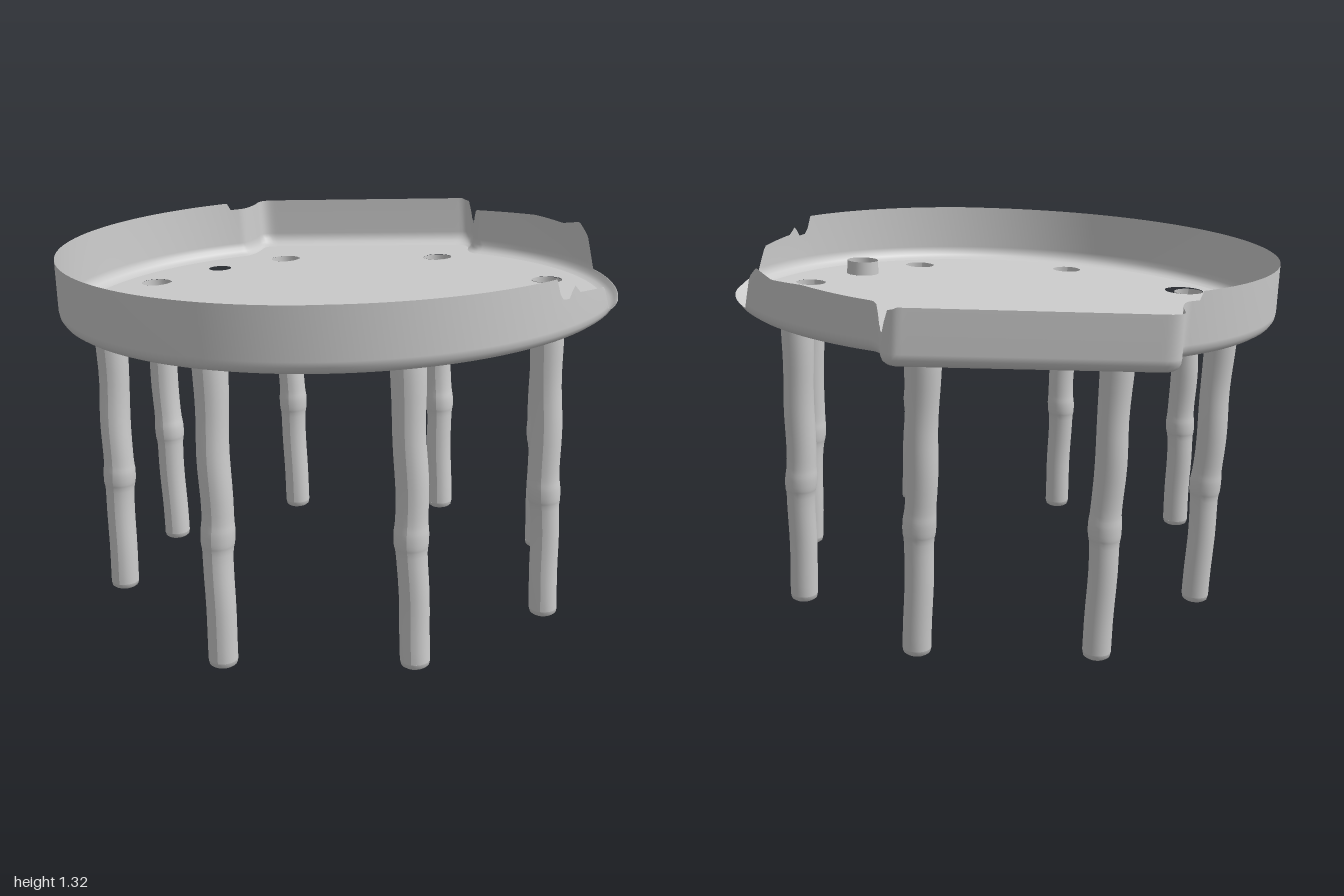
import * as THREE from 'three';

const SLOPE_X = 0.045, SLOPE_Z = 0.035, FLOOR_Y = 1.06;
const floorY = (x, z) => FLOOR_Y + SLOPE_X * x + SLOPE_Z * z;
const UP = new THREE.Vector3(0, 1, 0);
const material = new THREE.MeshStandardMaterial({ color: 0xcccccc, side: THREE.DoubleSide });

// leg top x, z, then foot x, y, z
const LEGS = [
  [-0.42, -0.57, -0.365, 0.0, -0.53],
  [0.16, -0.69, 0.21, 0.03, -0.63],
  [0.64, -0.36, 0.665, 0.07, -0.30],
  [0.74, 0.22, 0.78, 0.09, 0.25],
  [0.42, 0.72, 0.47, 0.12, 0.76],
  [-0.16, 0.82, -0.125, 0.08, 0.87],
  [-0.645, 0.495, -0.62, 0.12, 0.545],
  [-0.75, -0.09, -0.69, 0.03, -0.05],
];
const LEG_RADIUS = 0.054;

// height of the broken rim on the +x side, as [z, height]
const BROKEN = [
  [-1, 0.18], [-0.98, 0.17], [-0.96, 0.1], [-0.87, 0.1], [-0.84, 0.16], [-0.7, 0.17],
  [-0.6, 0.16], [-0.52, 0.18], [-0.47, 0.14], [-0.43, 0.03], [0, 0.02], [0.18, 0.03],
  [0.24, 0.12], [0.41, 0.14], [0.44, 0.17], [0.46, 0.13], [0.5, 0.135], [0.515, 0.2], [1.1, 0.21],
];

function rimHeight(x, z) {
  if (x < 0.2) return z < -0.6 ? 0.18 : 0.207;
  const i = Math.max(1, BROKEN.findIndex((p) => p[0] >= z));
  const [z0, h0] = BROKEN[i - 1], [z1, h1] = BROKEN[i];
  return THREE.MathUtils.mapLinear(z, z0, z1, h0, h1);
}

// round outline with a slanted tab at the back (shape y is model z)
function trayOutline() {
  const s = new THREE.Shape();
  s.absarc(0, 0.065, 0.935, -1.244, 3.988, false);
  s.quadraticCurveTo(-0.6, -0.67, -0.605, -0.75);
  s.lineTo(-0.61, -0.8);
  s.quadraticCurveTo(-0.61, -0.84, -0.56, -0.848);
  s.lineTo(0.18, -0.985);
  s.quadraticCurveTo(0.23, -1.0, 0.25, -0.93);
  s.quadraticCurveTo(0.26, -0.85, 0.3, -0.82);
  const pts = s.getSpacedPoints(400);
  pts.pop();
  return pts;
}

const inset = (p, d) => new THREE.Vector2(p.x * (1 - d / 0.935), 0.065 + (p.y - 0.065) * (1 - d / 0.935));

function makeFloor(outline) {
  const shape = new THREE.Shape(outline.map((p) => inset(p, 0.045)));
  const addHole = (x, z, r) => shape.holes.push(new THREE.Path().absarc(x, z, r, 0, Math.PI * 2, true));
  LEGS.forEach(([x, z], i) => (i === 6 ? addHole(-0.628, 0.51, 0.072) : addHole(x, z, LEG_RADIUS)));
  addHole(0.6, 0.47, 0.06);
  addHole(-0.61, -0.36, 0.042);
  return new THREE.ShapeGeometry(shape, 20).rotateX(Math.PI / 2);
}

// thin rim swept round the outline: a small fillet, then an upright wall
function makeRim(outline) {
  const rows = [[0.045, 0], [0.026, 0.004], [0.012, 0.013], [0.003, 0.027], [0, 0.045], [0, 1]];
  const pos = [], index = [], n = outline.length;
  for (const [d, y] of rows) {
    for (const p of outline) {
      const q = inset(p, d);
      pos.push(q.x, Math.min(y, rimHeight(p.x, p.y)), q.y);
    }
  }
  for (let r = 0; r < rows.length - 1; r++) {
    for (let i = 0; i < n; i++) {
      const a = r * n + i, b = r * n + ((i + 1) % n);
      index.push(a, a + n, b, b, a + n, b + n);
    }
  }
  const g = new THREE.BufferGeometry();
  g.setAttribute('position', new THREE.Float32BufferAttribute(pos, 3));
  g.setIndex(index);
  g.computeVertexNormals();
  return g;
}

// hollow leg with a closed, rounded foot and a slight collar half way up
function makeLeg([tx, tz, fx, fy, fz], k) {
  const top = new THREE.Vector3(tx, floorY(tx, tz), tz);
  const foot = new THREE.Vector3(fx, fy, fz);
  const len = top.distanceTo(foot);
  const profile = [
    [0, 0], [0.036, 0], [0.044, 0.006], [0.047, 0.02], [0.047, 0.2], [0.048, 0.37],
    [0.053, 0.41], [0.054, 0.45], [0.05, 0.5], [0.051, 0.65], [0.05, 0.8], [LEG_RADIUS, 0.95], [LEG_RADIUS, 1],
  ].map(([r, t]) => new THREE.Vector2(r, t * len));
  const g = new THREE.LatheGeometry(new THREE.SplineCurve(profile.slice(3)).getPoints(30), 20);
  // gentle unevenness along the shaft
  const p = g.attributes.position;
  for (let i = 0; i < p.count; i++) {
    const t = p.getY(i) / len;
    const w = 0.003 * Math.sin(Math.PI * t);
    p.setX(i, p.getX(i) + w * Math.sin(t * 17 + k));
    p.setZ(i, p.getZ(i) + w * Math.cos(t * 13 + k * 2));
  }
  g.computeVertexNormals();
  const leg = new THREE.Group();
  leg.name = 'leg';
  const shaft = new THREE.Mesh(g, material);
  shaft.name = 'legShaft';
  const cap = new THREE.Mesh(new THREE.LatheGeometry(profile.slice(0, 4), 20), material);
  cap.name = 'legFoot';
  leg.add(shaft, cap);
  leg.position.copy(foot);
  leg.quaternion.setFromUnitVectors(UP, top.sub(foot).normalize());
  return leg;
}

export function createModel() {
  const model = new THREE.Group();
  model.name = 'trayOnLegs';

  // tray, slightly tilted
  const tray = new THREE.Group();
  tray.name = 'tray';
  const outline = trayOutline();
  const floor = new THREE.Mesh(makeFloor(outline), material);
  floor.name = 'trayFloor';
  const rim = new THREE.Mesh(makeRim(outline), material);
  rim.name = 'trayRim';
  // raised lip round the large open hole
  const lip = new THREE.Mesh(new THREE.CylinderGeometry(0.058, 0.06, 0.05, 24, 1, true), material);
  lip.name = 'holeLip';
  lip.position.set(0.6, 0.025, 0.47);
  tray.add(floor, rim, lip);
  tray.position.y = FLOOR_Y;
  tray.quaternion.setFromUnitVectors(UP, new THREE.Vector3(-SLOPE_X, 1, -SLOPE_Z).normalize());
  model.add(tray);

  LEGS.forEach((leg, k) => model.add(makeLeg(leg, k)));
  return model;
}
